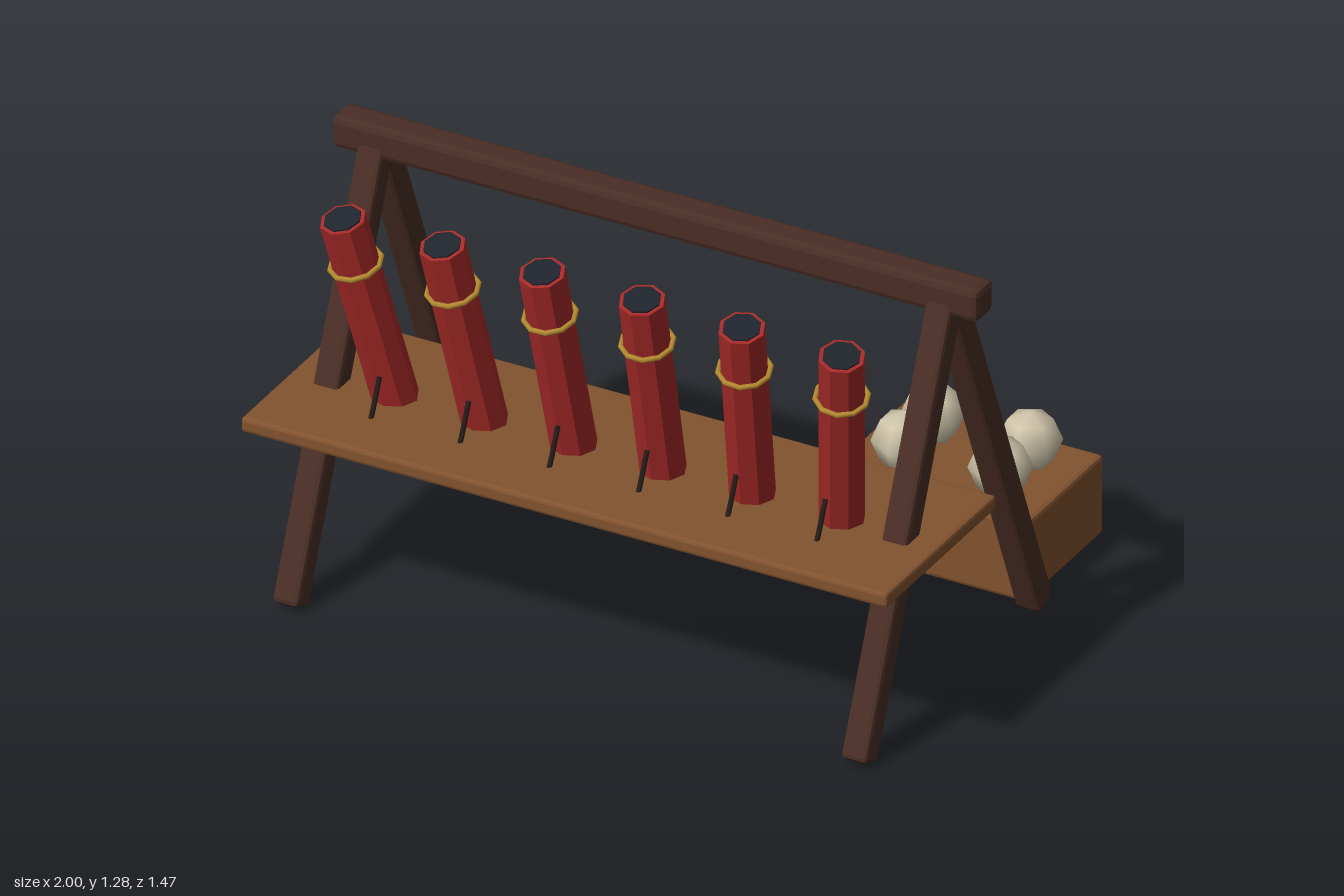
import * as THREE from 'three';
import { RoundedBoxGeometry } from 'three/addons/geometries/RoundedBoxGeometry.js';

const mat = (color, flatShading = true) => {
  const m = new THREE.MeshStandardMaterial({ color });
  m.flatShading = flatShading;
  return m;
};

export function createModel() {
  const model = new THREE.Group();
  const darkWood = mat(0x4a2e25), wood = mat(0x82532f), red = mat(0xa62a28);
  const bore = mat(0x20252d), brass = mat(0xb58a30, false);
  const cord = mat(0x241c18, false), ivory = mat(0xcfc5aa, false);

  const add = (parent, name, geometry, material, x = 0, y = 0, z = 0) => {
    const mesh = new THREE.Mesh(geometry, material);
    mesh.name = name;
    mesh.position.set(x, y, z);
    parent.add(mesh);
    return mesh;
  };
  // Box with chamfered edges
  const chamferBox = (w, h, d, bevel) => new RoundedBoxGeometry(w, h, d, 1, bevel);

  // Ridge beam and shelf
  const ridge = new THREE.Vector3(0, 1.238, 0.177);
  add(model, 'ridgeBeam', chamferBox(2, 0.098, 0.098, 0.018), darkWood, 0, ridge.y, ridge.z);
  add(model, 'shelf', chamferBox(2, 0.045, 0.62, 0.01), wood, 0, 0.578, 0.425);

  // A-frame legs
  const spread = 0.495, footY = 0.018, drop = ridge.y - footY;
  const legGeometry = chamferBox(0.08, Math.hypot(spread, drop), 0.08, 0.013);
  for (const side of [-1, 1]) {
    for (const dir of [-1, 1]) {
      const leg = add(model, dir > 0 ? 'frontLeg' : 'backLeg', legGeometry, darkWood,
        side * 0.88, (ridge.y + footY) / 2, ridge.z + dir * spread / 2);
      leg.rotation.x = -dir * Math.atan2(spread, drop);
    }
  }

  // Fanned launch tubes, each with a rim bore, a brass band and a fuse
  const length = 0.635, radius = 0.066;
  const tubeGeometry = new THREE.CylinderGeometry(radius, radius, length, 8);
  const boreGeometry = new THREE.CylinderGeometry(0.054, 0.054, 0.01, 8);
  const bandGeometry = new THREE.TorusGeometry(0.073, 0.008, 6, 10).rotateX(Math.PI / 2);
  const fuseCurve = new THREE.CatmullRomCurve3([
    new THREE.Vector3(0, 0.705, 0.515),
    new THREE.Vector3(0, 0.59, 0.57),
    new THREE.Vector3(0, 0.555, 0.61),
    new THREE.Vector3(0, 0.527, 0.676),
  ]);
  const fuseGeometry = new THREE.TubeGeometry(fuseCurve, 12, 0.008, 6);
  for (let i = 0; i < 6; i++) {
    const x = (i - 2.5) * 0.276;
    const launcher = new THREE.Group();
    launcher.name = 'launcher';
    launcher.position.set(x, 0.592, 0.423);
    const axis = new THREE.Vector3(0.12 * x, 0.617, 0.152).normalize();
    launcher.quaternion.setFromUnitVectors(new THREE.Vector3(0, 1, 0), axis);
    add(launcher, 'tube', tubeGeometry, red, 0, length / 2, 0);
    add(launcher, 'bore', boreGeometry, bore, 0, length, 0);
    add(launcher, 'band', bandGeometry, brass, 0, length * 0.755, 0);
    model.add(launcher);
    add(model, 'fuse', fuseGeometry, cord, x, 0, 0);
  }

  // Crate with four shells
  add(model, 'crate', chamferBox(0.615, 0.245, 0.44, 0.012), wood, 0.558, 0.138, -0.515);
  const shellGeometry = new THREE.SphereGeometry(0.09, 6, 4).rotateY(Math.PI / 2);
  for (const x of [0.41, 0.71]) {
    for (const z of [-0.435, -0.603]) add(model, 'shell', shellGeometry, ivory, x, 0.33, z);
  }
  return model;
}
